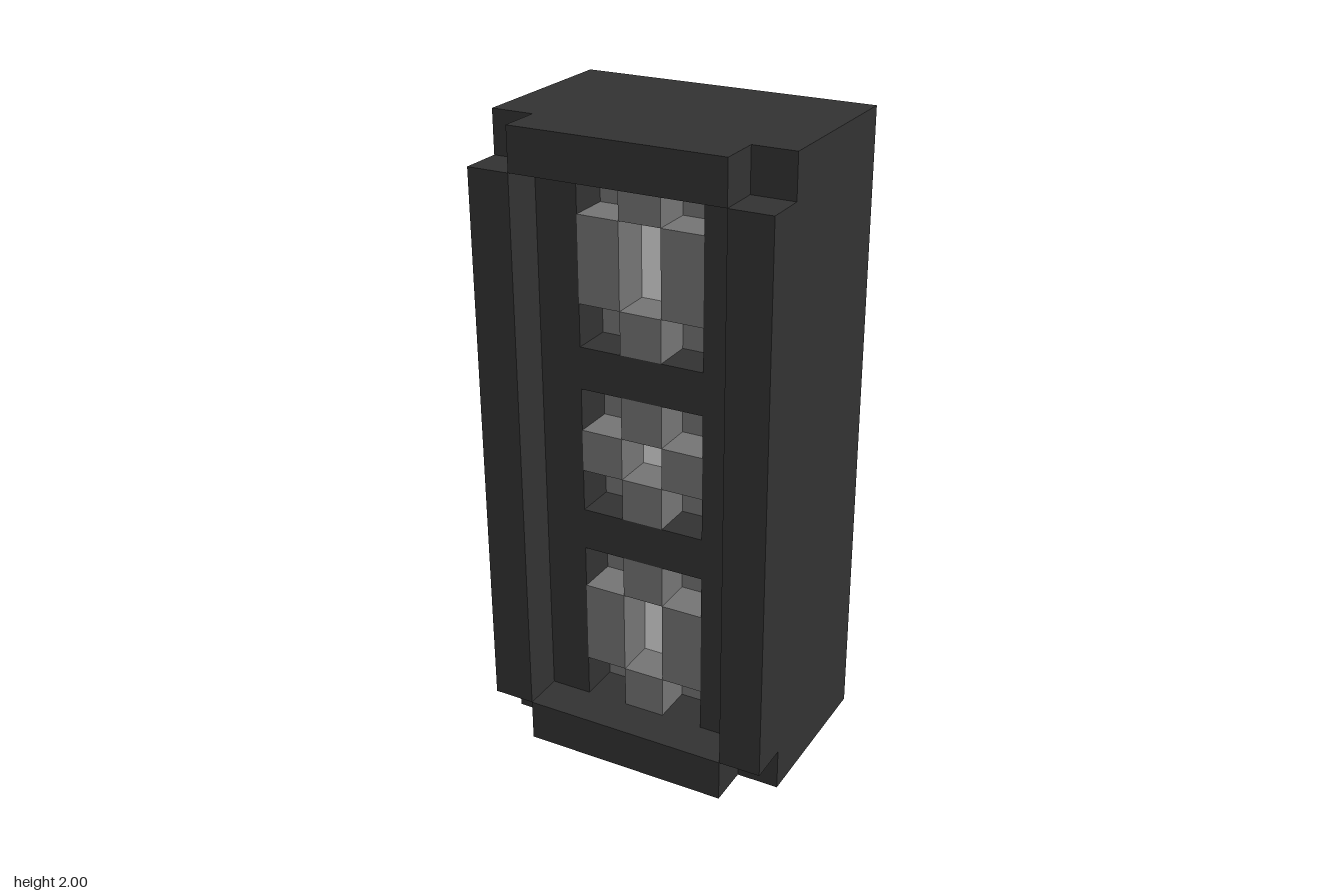
import * as THREE from 'three';

const U = 2 / 15; // one block; the model is 7 x 15 x 5 blocks

const mat = (name, color) => {
  const m = new THREE.MeshStandardMaterial({ color });
  m.name = name;
  return m;
};

export function createModel() {
  const casing = mat('casing charcoal', 0x323232);
  const grey = mat('lamp grey', 0x747474);
  const glow = mat('lamp light', 0xdedede);
  const model = new THREE.Group();
  model.name = 'lampTower';

  // Box spanning block coordinates: x from -3.5, y from 0, z from -2.5 (back)
  const box = (parent, name, material, x0, x1, y0, y1, z0, z1) => {
    const mesh = new THREE.Mesh(
      new THREE.BoxGeometry((x1 - x0) * U, (y1 - y0) * U, (z1 - z0) * U), material);
    mesh.position.set((x0 + x1) / 2 * U, (y0 + y1) / 2 * U, (z0 + z1) / 2 * U);
    mesh.name = name;
    parent.add(mesh);
  };

  const windows = [
    { name: 'lowerLamp', y0: 1, y1: 5 },
    { name: 'middleLamp', y0: 6, y1: 9 },
    { name: 'upperLamp', y0: 10, y1: 14 },
  ];

  // Solid rear body
  box(model, 'body', casing, -3.5, 3.5, 0, 15, -2.5, 0.5);

  // Front panel with three window openings
  const rect = (path, x0, x1, y0, y1) => path
    .moveTo(x0 * U, y0 * U).lineTo(x1 * U, y0 * U)
    .lineTo(x1 * U, y1 * U).lineTo(x0 * U, y1 * U).closePath();
  const outline = rect(new THREE.Shape(), -3.5, 3.5, 0, 15);
  for (const w of windows) outline.holes.push(rect(new THREE.Path(), -1.5, 1.5, w.y0, w.y1));
  const panel = new THREE.Mesh(
    new THREE.ExtrudeGeometry(outline, { depth: U, bevelEnabled: false }), casing);
  panel.position.z = 0.5 * U;
  panel.name = 'frontPanel';
  model.add(panel);

  // Raised rim, notched at its four corners
  box(model, 'rightRim', casing, -3.5, -2.5, 1, 14, 1.5, 2.5);
  box(model, 'leftRim', casing, 2.5, 3.5, 1, 14, 1.5, 2.5);
  box(model, 'bottomRim', casing, -2.5, 2.5, 0, 1, 1.5, 2.5);
  box(model, 'topRim', casing, -2.5, 2.5, 14, 15, 1.5, 2.5);

  // Lamps: a ring of blocks around a sunken light, with sunken corners
  const thin = 0.52;
  for (const { name, y0, y1 } of windows) {
    const lamp = new THREE.Group();
    lamp.name = name;
    model.add(lamp);
    for (const x of [-1.5, 0.5]) {
      box(lamp, 'sideBlock', grey, x, x + 1, y0 + 1, y1 - 1, 0.5, 1.5);
      for (const y of [y0, y1 - 1]) box(lamp, 'cornerPlate', grey, x, x + 1, y, y + 1, 0.5, thin);
    }
    for (const y of [y0, y1 - 1]) box(lamp, 'endBlock', grey, -0.5, 0.5, y, y + 1, 0.5, 1.5);
    box(lamp, 'light', glow, -0.5, 0.5, y0 + 1, y1 - 1, 0.5, thin);
  }
  return model;
}
